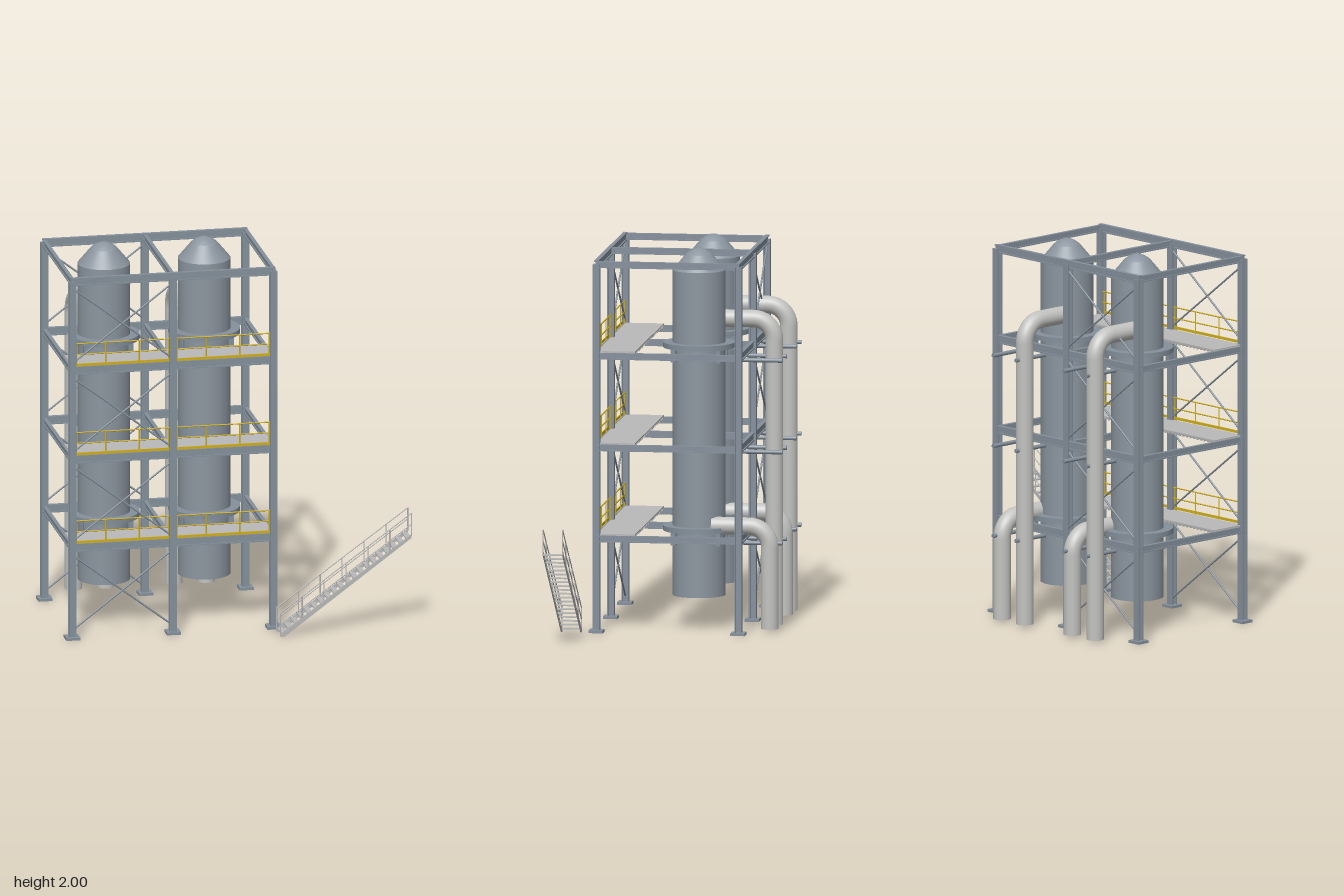
import * as THREE from 'three';

const mat = (name, color) => {
  const m = new THREE.MeshStandardMaterial({ color });
  m.name = name;
  return m;
};

export function createModel() {
  const steel = mat('frame steel', 0x84909b);
  const shell = mat('vessel steel', 0x8b959f);
  const pipeGrey = mat('pipe grey', 0xc2c2c0);
  const grating = mat('galvanised grey', 0xb9b9b9);
  const yellow = mat('safety yellow', 0xd0ae1c);

  const model = new THREE.Group();
  model.name = 'processTower';
  const group = (name) => {
    const g = new THREE.Group();
    g.name = name;
    model.add(g);
    return g;
  };
  const add = (parent, name, geo, material, x = 0, y = 0, z = 0) => {
    const mesh = new THREE.Mesh(geo, material);
    mesh.name = name;
    mesh.position.set(x, y, z);
    parent.add(mesh);
    return mesh;
  };
  const box = (parent, name, material, w, h, d, x, y, z) =>
    add(parent, name, new THREE.BoxGeometry(w, h, d), material, x, y, z);

  // Round bar between two points
  const rod = (parent, name, material, a, b, r, sides = 8) => {
    const p = new THREE.Vector3(...a), q = new THREE.Vector3(...b);
    const dir = q.clone().sub(p);
    const mesh = add(parent, name, new THREE.CylinderGeometry(r, r, dir.length(), sides), material);
    mesh.position.copy(p).add(q).multiplyScalar(0.5);
    mesh.quaternion.setFromUnitVectors(new THREE.Vector3(0, 1, 0), dir.normalize());
    return mesh;
  };

  // I-section of width w and depth h, extruded along z and centred
  const iBeam = (w, h, length, tf, tw) => {
    const a = w / 2, b = h / 2, c = tw / 2, e = b - tf;
    const pts = [[-a, -b], [a, -b], [a, -e], [c, -e], [c, e], [a, e],
      [a, b], [-a, b], [-a, e], [-c, e], [-c, -e], [-a, -e]];
    const shape = new THREE.Shape(pts.map(([x, y]) => new THREE.Vector2(x, y)));
    return new THREE.ExtrudeGeometry(shape, { depth: length, bevelEnabled: false })
      .translate(0, 0, -length / 2);
  };

  const colX = [-0.87, -0.335, 0.2];
  const front = 0.383, back = -0.365;
  const floors = [0.494, 0.974, 1.457];
  const levels = [...floors, 1.939];
  const midX = (colX[0] + colX[2]) / 2, midZ = (front + back) / 2;

  // Columns on base plates
  const frame = group('frame');
  for (const x of colX) for (const z of [front, back]) {
    const g = iBeam(0.038, 0.037, 1.93, 0.007, 0.007).rotateX(-Math.PI / 2);
    add(frame, 'column', g, steel, x, 0.975, z);
    box(frame, 'basePlate', steel, 0.075, 0.014, 0.075, x, 0.007, z);
  }

  // Long and cross beams at every level
  for (const y of levels) {
    for (const z of [front, back]) {
      const g = iBeam(0.022, 0.043, colX[2] - colX[0] + 0.02, 0.006, 0.007).rotateY(Math.PI / 2);
      add(frame, 'longBeam', g, steel, midX, y, z);
    }
    for (const x of colX)
      add(frame, 'crossBeam', iBeam(0.02, 0.035, front - back, 0.006, 0.007), steel, x, y, midZ);
  }

  // Cross bracing in one bay, front and back
  for (const z of [front, back]) for (const y of [0.25, 0.733, 1.215, 1.7])
    for (const s of [-1, 1])
      rod(frame, 'brace', steel, [colX[0], y - 0.205 * s, z], [colX[1], y + 0.205 * s, z], 0.005);

  // Walkways with grating, toe board and railing
  floors.forEach((level) => {
    const walk = group('walkway');
    const top = level + 0.026, z = front, len = colX[2] - colX[0];
    box(walk, 'deck', grating, len, 0.007, 0.2, midX, top - 0.0035, 0.28);
    for (let i = 0; i <= 40; i++)
      box(walk, 'gratingBar', grating, 0.005, 0.012, 0.2, colX[0] + len * i / 40, top - 0.012, 0.28);
    box(walk, 'toeBoard', yellow, len - 0.03, 0.014, 0.005, midX, top + 0.006, z + 0.012);
    for (const h of [0.06, 0.118])
      rod(walk, 'rail', yellow, [colX[0], top + h, z], [colX[2], top + h, z], 0.0035);
    for (let bay = 0; bay < 2; bay++) for (const t of [0.04, 1 / 3, 2 / 3, 0.96]) {
      const x = THREE.MathUtils.lerp(colX[bay], colX[bay + 1], t);
      rod(walk, 'railPost', yellow, [x, top, z], [x, top + 0.118, z], 0.0035);
    }
  });

  // Elbowed pipe from the vessel wall down to the ground
  const pipe = (parent, name, x, y) => {
    const r = 0.046, bend = 0.11, z = -0.505;
    add(parent, name, new THREE.CylinderGeometry(r, r, y - bend - 0.012, 28), pipeGrey,
      x, (y - bend + 0.012) / 2, z);
    rod(parent, name, pipeGrey, [x, y, -0.2], [x, y, z + bend], r, 28);
    // quarter torus turned into the yz plane
    const elbow = new THREE.TorusGeometry(bend, r, 24, 16, Math.PI / 2).rotateY(Math.PI / 2);
    add(parent, name + 'Elbow', elbow, pipeGrey, x, y - bend, z + bend);
  };

  // Vessels with support rings, lugs, pipes and pipe brackets
  for (const vx of [-0.602, -0.068]) {
    const vessel = group('vessel');
    const vz = -0.12, r = 0.138;
    add(vessel, 'shell', new THREE.CylinderGeometry(r, r, 1.713, 48), shell, vx, 1.0285, vz);
    add(vessel, 'coneTop', new THREE.CylinderGeometry(0.07, r, 0.082, 48, 1, true), shell, vx, 1.926, vz);
    const cap = [[0.07, 1.967], [0.056, 1.979], [0.038, 1.99], [0.018, 1.998], [0, 2]]
      .map(([x, y]) => new THREE.Vector2(x, y));
    add(vessel, 'cap', new THREE.LatheGeometry(cap, 40), shell, vx, 0, vz);

    for (const y of [0.527, 1.492]) {
      add(vessel, 'supportRing', new THREE.CylinderGeometry(0.188, 0.188, 0.027, 48), steel, vx, y, vz);
      for (const sx of [-1, 1]) for (const sz of [-1, 1])
        box(vessel, 'lug', steel, 0.027, 0.075, 0.027, vx + 0.118 * sx, y - 0.044, vz + 0.118 * sz);
    }

    pipe(vessel, 'tallPipe', vx - 0.086, 1.62);
    pipe(vessel, 'shortPipe', vx + 0.086, 0.55);
    for (const s of [-1, 1]) for (const y of [0.462, 0.942, 1.425])
      rod(vessel, 'pipeBracket', steel, [vx + 0.086 * s, y, -0.36], [vx + 0.086 * s, y, -0.57], 0.011, 12);
  }

  // Open stair with stringers, treads and handrails
  const stair = group('stair');
  const x0 = 0.202, x1 = 0.9, rise = 0.505, slope = rise / (x1 - x0);
  const stepCount = 20, zs = [0.462, 0.565];
  for (const z of zs) {
    const side = new THREE.Shape([[x0, 0], [x0 + 0.02, 0], [x1, rise - 0.005], [x1, rise + 0.016], [x0, 0.016]]
      .map(([x, y]) => new THREE.Vector2(x, y)));
    const g = new THREE.ExtrudeGeometry(side, { depth: 0.005, bevelEnabled: false });
    add(stair, 'stringer', g, grating, 0, 0, z - 0.0025);
    for (const h of [0.07, 0.13])
      rod(stair, 'handrail', grating, [x0, h, z], [x1, rise + h, z], 0.003);
    for (let i = 0; i <= 6; i++) {
      const x = x0 + (x1 - x0) * i / 6, y = (x - x0) * slope;
      rod(stair, 'handrailPost', grating, [x, y + 0.005, z], [x, y + 0.13, z], 0.003);
    }
  }
  for (let i = 0; i < stepCount; i++) {
    const x = x0 + (x1 - x0) * (i + 0.5) / stepCount;
    box(stair, 'tread', grating, 0.03, 0.006, zs[1] - zs[0], x, (x - x0) * slope + 0.008, (zs[0] + zs[1]) / 2);
  }

  return model;
}
